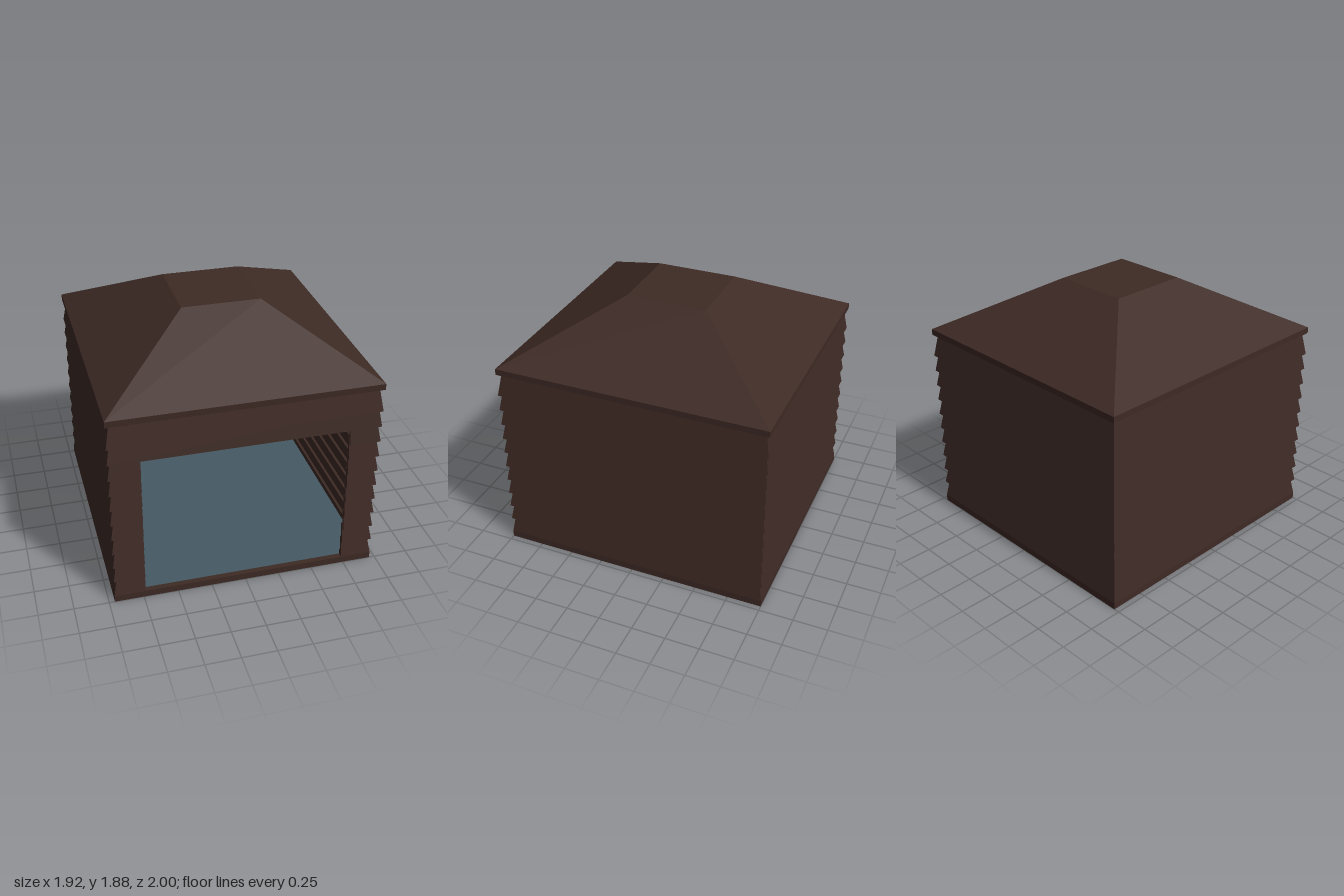
import * as THREE from 'three';

const W = 0.96, D = 1;             // half width and half depth at the outer faces
const PITCH = 0.122, BOARD = 0.16; // course spacing and board height
const LEAN = 0.028, THICK = 0.02;  // inward lean and thickness of a board
const DOOR = 0.735, SILL = 0.05, FLOOR = 0.03;

const brown = new THREE.MeshStandardMaterial({ color: 0x3e2a25 });
const slate = new THREE.MeshStandardMaterial({ color: 0x455a64 });

// Unit box whose corners are placed by a rule
function shapedBox(place) {
  const geo = new THREE.BoxGeometry(1, 1, 1);
  const pos = geo.attributes.position;
  for (let i = 0; i < pos.count; i++) {
    pos.setXYZ(i, ...place(pos.getX(i) * 2, pos.getY(i) * 2, pos.getZ(i) * 2));
  }
  geo.computeVertexNormals();
  return geo;
}

// Leaning clapboard facing +z; an end without a fixed x is mitred at the corner
function clapboard(halfWidth, depth, course, left, right) {
  const base = SILL + course * PITCH;
  const y0 = Math.max(base, FLOOR), y1 = base + BOARD;
  return shapedBox((sx, sy, sz) => {
    const y = sy > 0 ? y1 : y0;
    const inset = LEAN * (y - base) / BOARD + (sz < 0 ? THICK : 0);
    const fixed = sx < 0 ? left : right;
    return [fixed ?? sx * (halfWidth - inset), y, depth - inset];
  });
}

export function createModel() {
  const model = new THREE.Group();
  const add = (parent, name, geo, mat = brown) => {
    const mesh = new THREE.Mesh(geo, mat);
    mesh.name = name;
    parent.add(mesh);
    return mesh;
  };
  const box = (w, h, d, x, y, z) => new THREE.BoxGeometry(w, h, d).translate(x, y, z);

  // Base: underside, inset floor and surrounding sill
  add(model, 'basePlate', box(2 * W, 0.02, 2 * D, 0, 0.01, 0));
  add(model, 'floor', box(2 * W - 0.08, 0.01, 2 * D - 0.08, 0, FLOOR - 0.005, 0), slate);
  for (const s of [-1, 1]) {
    add(model, 'endSill', box(2 * W, SILL - 0.02, 0.04, 0, 0.035, s * (D - 0.02)));
    add(model, 'sideSill', box(0.04, SILL - 0.02, 2 * D - 0.08, s * (W - 0.02), 0.035, 0));
  }

  // Clapboard walls: front, left, back, right; the front has the doorway
  ['frontWall', 'leftWall', 'backWall', 'rightWall'].forEach((name, k) => {
    const wall = new THREE.Group();
    wall.name = name;
    wall.rotation.y = k * Math.PI / 2;
    const [hw, hd] = k % 2 ? [D, W] : [W, D];
    for (let c = -1; c <= 10; c++) {
      if (k === 0 && c < 9) {
        add(wall, 'clapboard', clapboard(hw, hd, c, undefined, -DOOR));
        add(wall, 'clapboard', clapboard(hw, hd, c, DOOR, undefined));
      } else {
        add(wall, 'clapboard', clapboard(hw, hd, c));
      }
    }
    model.add(wall);
  });

  // Hipped roof with a flat top, resting just clear of the walls
  add(model, 'eaves', box(2 * W, 0.045, 2 * D, 0, 1.4625, 0));
  add(model, 'roof', shapedBox((sx, sy, sz) => sy > 0
    ? [sx * 0.285, 1.88, sz * 0.295]
    : [sx * W, 1.485, sz * D]));

  return model;
}
